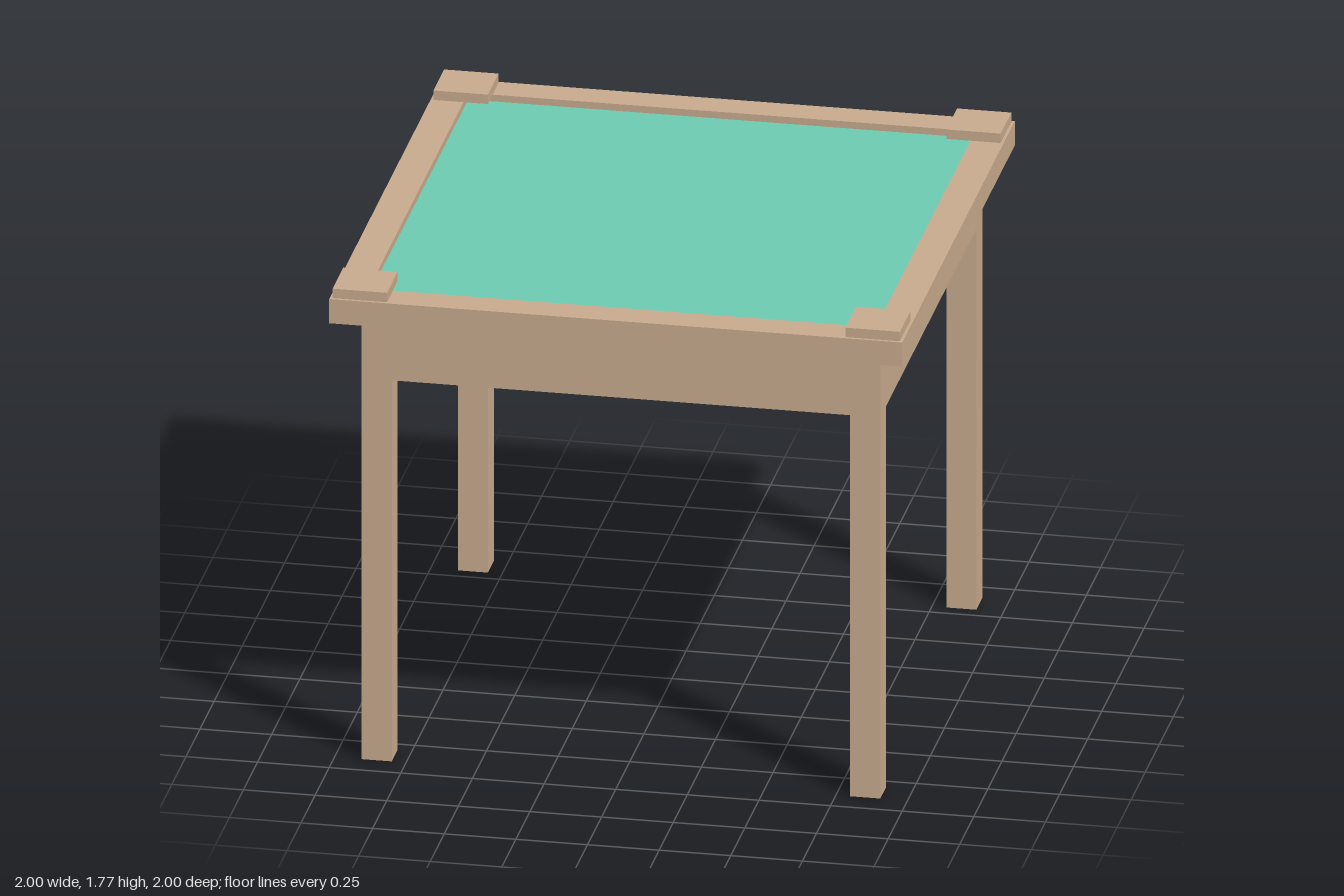
import * as THREE from 'three';

// Square ring lying flat: outer and inner half-widths, from y0 up to y1
function squareRing(outer, inner, y0, y1) {
  const square = (Type, h) => new Type([
    new THREE.Vector2(-h, -h), new THREE.Vector2(h, -h),
    new THREE.Vector2(h, h), new THREE.Vector2(-h, h),
  ]);
  const shape = square(THREE.Shape, outer);
  shape.holes.push(square(THREE.Path, inner));
  const geo = new THREE.ExtrudeGeometry(shape, { depth: y1 - y0, bevelEnabled: false });
  return geo.rotateX(-Math.PI / 2).translate(0, y0, 0);
}

// Box spanning y0 to y1, centred on x and z
function slab(width, y0, y1) {
  return new THREE.BoxGeometry(width, y1 - y0, width).translate(0, (y0 + y1) / 2, 0);
}

export function createModel() {
  const wood = new THREE.MeshStandardMaterial({ color: 0xc9ab8e });
  wood.name = 'wood';
  const felt = new THREE.MeshStandardMaterial({ color: 0x6dcbb1 });
  felt.name = 'green felt';

  const table = new THREE.Group();
  table.name = 'table';
  const add = (name, geo, material, x = 0, z = 0) => {
    const mesh = new THREE.Mesh(geo, material);
    mesh.name = name;
    mesh.position.set(x, 0, z);
    table.add(mesh);
  };

  // Raised rim, sunken playing surface and apron
  add('rim', squareRing(1, 0.885, 1.65, 1.74), wood);
  add('playingSurface', slab(1.77, 1.65, 1.715), felt);
  add('apron', squareRing(0.905, 0.86, 1.415, 1.65), wood);

  // Legs and corner pads
  const legGeo = slab(0.105, 0, 1.65);
  const padGeo = slab(0.19, 1.74, 1.775);
  for (const [sx, side] of [[1, 'Left'], [-1, 'Right']]) {
    for (const [sz, end] of [[1, 'front'], [-1, 'back']]) {
      add(`${end}${side}Leg`, legGeo, wood, sx * 0.8525, sz * 0.8525);
      add(`${end}${side}CornerPad`, padGeo, wood, sx * 0.895, sz * 0.895);
    }
  }
  return table;
}
